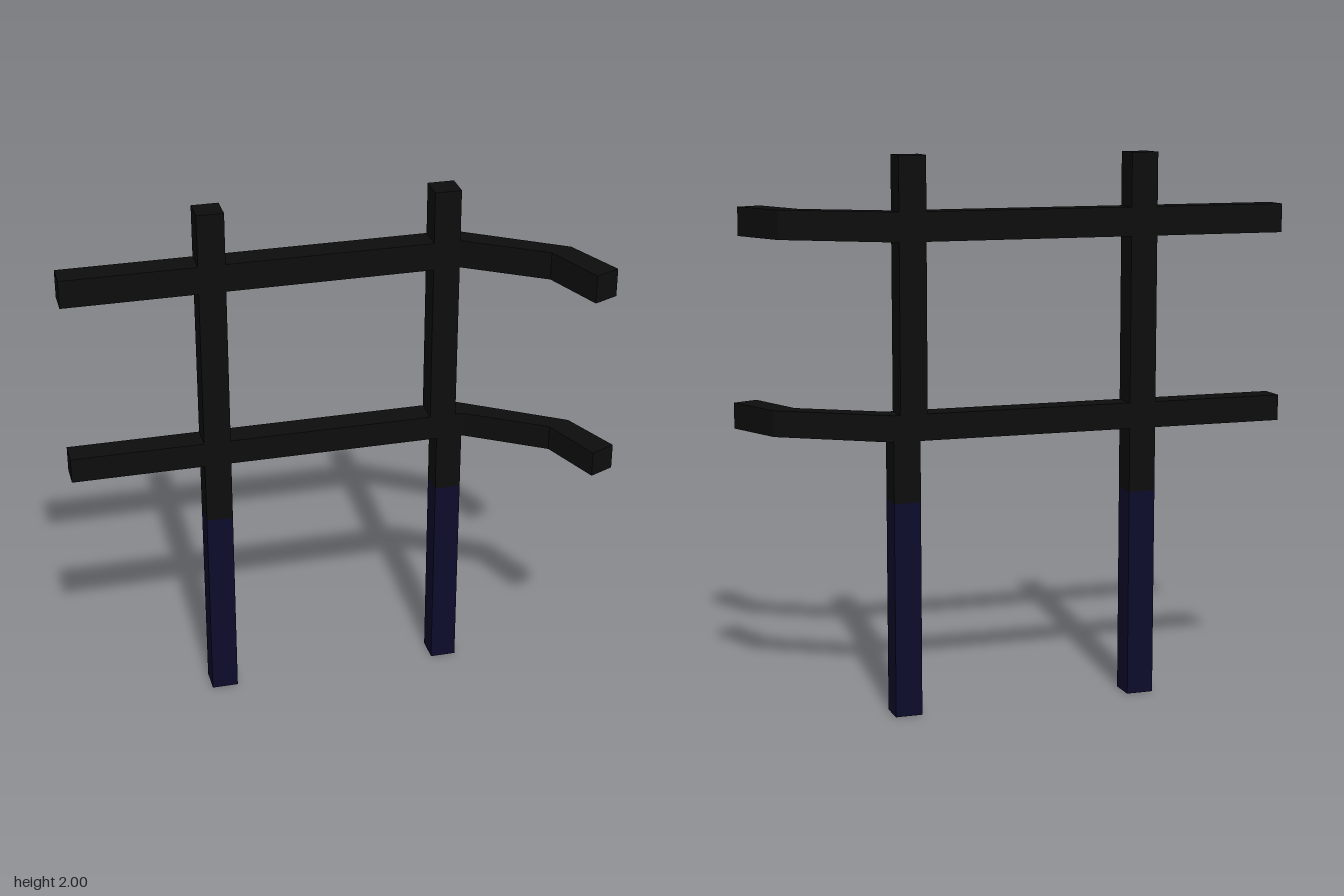
import * as THREE from 'three';

export function createModel() {
  const black = new THREE.MeshStandardMaterial({ name: 'black', color: 0x0d0d0d });
  const navy = new THREE.MeshStandardMaterial({ name: 'navy', color: 0x0c0c2a });
  const fence = new THREE.Group();
  fence.name = 'fence';

  // Upright square post section; the lowest face stays black on navy sections
  const post = (name, x0, x1, y0, y1, material) => {
    const geometry = new THREE.BoxGeometry(x1 - x0, y1 - y0, 0.1);
    const sides = [material, material, material, black, material, material];
    const mesh = new THREE.Mesh(geometry, sides);
    mesh.position.set((x0 + x1) / 2, (y0 + y1) / 2, -0.21);
    mesh.name = name;
    fence.add(mesh);
  };

  post('rightPostBase', -0.485, -0.385, 0, 0.765, navy);
  post('rightPostUpper', -0.485, -0.385, 0.765, 2, black);
  post('leftPostBase', 0.41, 0.508, 0, 0.78, navy);
  post('leftPostMiddle', 0.41, 0.508, 0.78, 1.095, black);
  post('leftPostUpper', 0.383, 0.482, 1.095, 2, black);

  // Rail with a hooked end: plan outline in x and z, extruded downward
  const rail = (name, y0, y1, shift) => {
    const bend = [
      [0.508, -0.26], [0.88, -0.012], [0.975, 0.213],
      [0.883, 0.255], [0.795, 0.022], [0.512, -0.16],
    ].map(([x, z]) => new THREE.Vector2(x + shift, z));
    const outline = new THREE.Shape([
      new THREE.Vector2(-0.98, -0.26), ...bend, new THREE.Vector2(-0.98, -0.16),
    ]);
    const geometry = new THREE.ExtrudeGeometry(outline, { depth: y1 - y0, bevelEnabled: false });
    geometry.rotateX(Math.PI / 2);
    geometry.translate(0, y1, 0);
    const mesh = new THREE.Mesh(geometry, black);
    mesh.name = name;
    fence.add(mesh);
  };

  rail('lowerRail', 1.0, 1.095, 0);
  rail('upperRail', 1.7, 1.805, -0.027);

  return fence;
}
